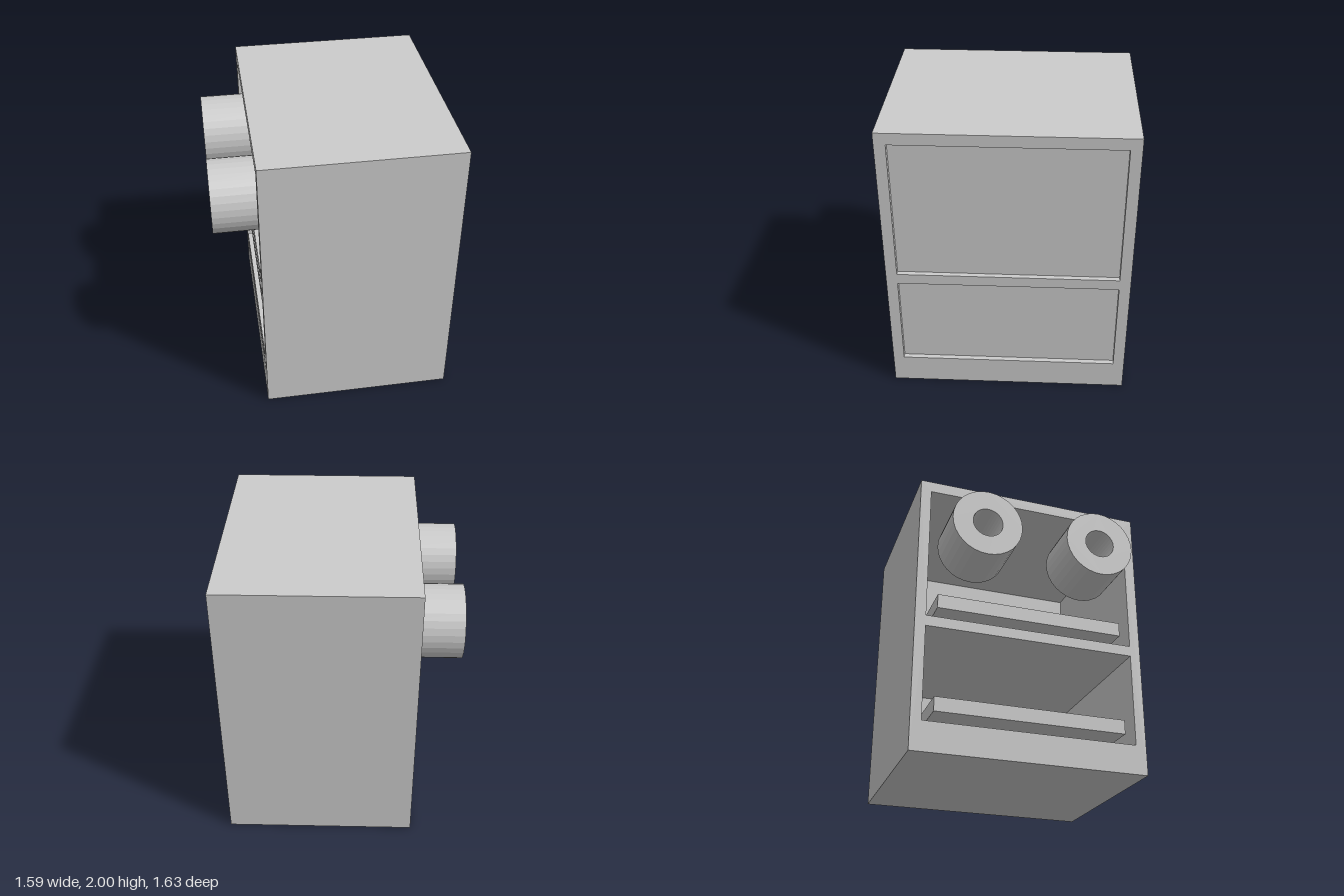
import * as THREE from 'three';

export function createModel() {
  const group = new THREE.Group();
  const grey = new THREE.MeshStandardMaterial({ color: 0xcccccc });
  grey.name = 'light grey';

  const add = (name, geometry, x = 0, y = 0, z = 0) => {
    const mesh = new THREE.Mesh(geometry, grey);
    mesh.name = name;
    mesh.position.set(x, y, z);
    group.add(mesh);
  };

  // Rectangle in the side plane, wound either way for outline or hole
  const rect = (Type, halfWidth, y0, y1) => {
    const path = new Type();
    path.moveTo(-halfWidth, y0);
    path.lineTo(halfWidth, y0);
    path.lineTo(halfWidth, y1);
    path.lineTo(-halfWidth, y1);
    path.closePath();
    return path;
  };

  // Extrusion whose depth runs along +x
  const extrudeX = (shape, depth, curveSegments = 1) =>
    new THREE.ExtrudeGeometry(shape, { depth, bevelEnabled: false, curveSegments })
      .rotateY(Math.PI / 2);

  const left = -0.51, right = 0.795, halfZ = 0.815, innerZ = 0.74;
  const bays = [
    { name: 'lower', y0: 0.205, y1: 0.865 },
    { name: 'upper', y0: 0.94, y1: 1.92 },
  ];

  // Cabinet shell with two deep bays
  const shell = rect(THREE.Shape, halfZ, 0, 2);
  for (const bay of bays) shell.holes.push(rect(THREE.Path, innerZ, bay.y0, bay.y1));
  add('cabinetShell', extrudeX(shell, right - left), left);

  for (const { name, y0, y1 } of bays) {
    // Recessed panel closing the bay
    add(`${name}BackPanel`, new THREE.BoxGeometry(0.035, y1 - y0, innerZ * 2),
      right - 0.0525, (y0 + y1) / 2, 0);

    // Raised shelf with a row of thin bars on top
    const shelfY = y0 + 0.07, shelfH = 0.1, shelfEnd = 0.72;
    add(`${name}Shelf`, new THREE.BoxGeometry(shelfEnd - left, shelfH, 1.33),
      (left + shelfEnd) / 2, shelfY + shelfH / 2, 0);
    for (let i = 0; i < 8; i++) {
      add(`${name}ShelfBar`, new THREE.BoxGeometry(0.92, 0.03, 0.035),
        0.12, shelfY + shelfH + 0.015, (i - 3.5) * 0.15);
    }
  }

  // Two hollow rollers projecting from the upper bay
  const ring = new THREE.Shape().absarc(0, 0, 0.245, 0, Math.PI * 2, false);
  ring.holes.push(new THREE.Path().absarc(0, 0, 0.105, 0, Math.PI * 2, true));
  for (const side of [-1, 1]) {
    add(side > 0 ? 'frontRoller' : 'backRoller', extrudeX(ring, 0.4, 16), -0.795, 1.555, side * 0.408);
  }

  return group;
}
